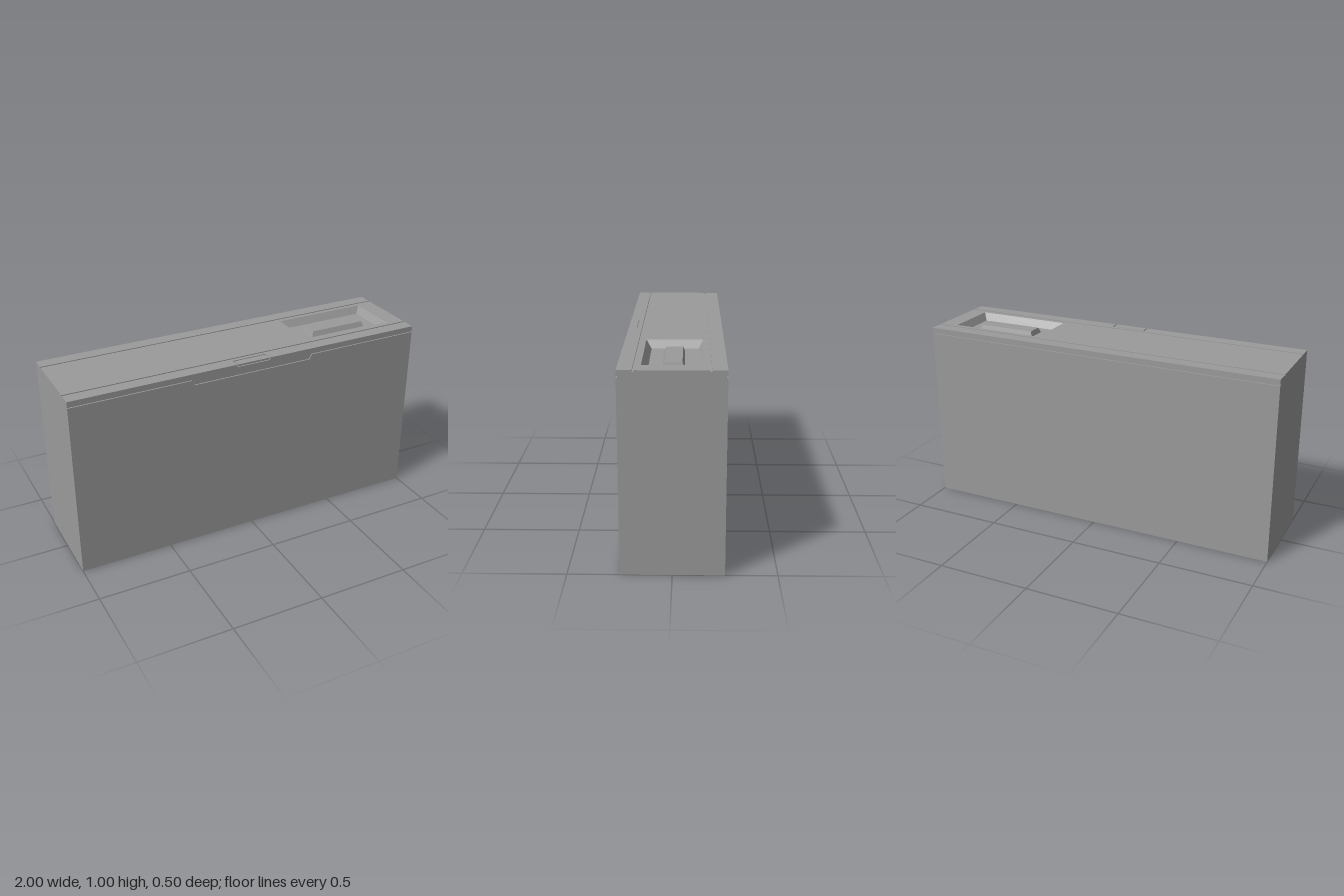
import * as THREE from 'three';

const material = new THREE.MeshStandardMaterial({ color: 0x9b9b9b, flatShading: true });
const GROOVE = 0.007; // depth of all seams
const DECK = 1 - GROOVE; // height of the seam floors on the top
const FLOOR = 0.96; // floor of the handle recess
const SKIN = 0.25 - GROOVE; // depth of the seam floors on front and back

const polygon = (points) => new THREE.Shape(points.map(([x, y]) => new THREE.Vector2(x, y)));
const rect = (x0, x1, y0, y1) => [[x0, y0], [x1, y0], [x1, y1], [x0, y1]];

function addMesh(group, name, geometry) {
  const mesh = new THREE.Mesh(geometry, material);
  mesh.name = name;
  group.add(mesh);
  return mesh;
}

function addBox(group, name, [x0, x1], [y0, y1], [z0, z1]) {
  addMesh(group, name, new THREE.BoxGeometry(x1 - x0, y1 - y0, z1 - z0))
    .position.set((x0 + x1) / 2, (y0 + y1) / 2, (z0 + z1) / 2);
}

// Horizontal plate from an x/z outline, with optional hole
function addPlate(group, name, outline, y0, y1, hole) {
  const shape = polygon(outline);
  if (hole) shape.holes.push(polygon(hole));
  const geometry = new THREE.ExtrudeGeometry(shape, { depth: y1 - y0, bevelEnabled: false });
  geometry.rotateX(Math.PI / 2);
  addMesh(group, name, geometry).position.y = y1;
}

// Front plate from an x/y outline
function addFront(group, name, outline) {
  const geometry = new THREE.ExtrudeGeometry(polygon(outline), { depth: GROOVE, bevelEnabled: false });
  addMesh(group, name, geometry).position.z = SKIN;
}

// Upward-facing slopes from a large x/z rectangle to a smaller one, closed by a flat
function slopes(large, yLarge, small, ySmall) {
  const a = large.map(([x, z]) => [x, yLarge, z]);
  const b = small.map(([x, z]) => [x, ySmall, z]);
  const positions = [];
  const quad = (p, q, r, s) => positions.push(...p, ...r, ...q, ...p, ...s, ...r);
  for (let i = 0; i < 4; i++) {
    const j = (i + 1) % 4;
    quad(a[i], a[j], b[j], b[i]);
  }
  quad(...b);
  const geometry = new THREE.BufferGeometry();
  geometry.setAttribute('position', new THREE.Float32BufferAttribute(positions, 3));
  geometry.computeVertexNormals();
  return geometry;
}

export function createModel() {
  const group = new THREE.Group();
  const full = [-1, 1];
  const recess = rect(0.38, 0.905, -0.145, 0.142);

  // Solid core and the layer around the handle recess
  addBox(group, 'core', full, [0, FLOOR - 0.002], [-SKIN, SKIN]);
  addPlate(group, 'lidCore', rect(-1, 1, -SKIN, SKIN), FLOOR - 0.002, DECK, recess);

  // Back panels split by a straight seam
  addBox(group, 'backPanel', full, [0, 0.966], [-0.25, -SKIN]);
  addBox(group, 'backLidEdge', full, [0.974, DECK], [-0.25, -SKIN]);

  // Front panels split by a seam that dips in the middle
  const seam = (y) => [[-1, y], [-0.35, y], [-0.335, y - 0.027], [0.335, y - 0.027], [0.35, y], [1, y]];
  const latch = 0.097;
  addFront(group, 'frontPanel', [[-1, 0], [1, 0], ...seam(0.965).reverse()]);
  addFront(group, 'frontLidEdge', [
    ...seam(0.973), [1, DECK], [latch, DECK], [latch, DECK - GROOVE],
    [-latch, DECK - GROOVE], [-latch, DECK], [-1, DECK],
  ]);

  // Top strips with two lengthwise seams
  addPlate(group, 'topBackStrip', rect(-1, 1, -0.25, -0.179), DECK, 1);
  addPlate(group, 'topCentre', rect(-1, 1, -0.17, 0.17), DECK, 1, recess);
  addPlate(group, 'topFrontStrip', [
    [-1, 0.179], [1, 0.179], [1, 0.25], [latch, 0.25], [latch, 0.2],
    [-latch, 0.2], [-latch, 0.25], [-1, 0.25],
  ], DECK, 1);

  // Latch tab set in its seam
  addBox(group, 'latchTab', [-latch + GROOVE, latch - GROOVE], [DECK, 1], [0.2 + GROOVE, 0.25]);

  // Handle recess and raised grip
  addMesh(group, 'handleRecess', slopes(recess, 1, rect(0.41, 0.88, -0.122, 0.115), FLOOR));
  addMesh(group, 'handleGrip', slopes(
    rect(0.475, 0.812, -0.055, 0.05), FLOOR, rect(0.486, 0.804, -0.045, 0.038), 0.988));

  return group;
}
